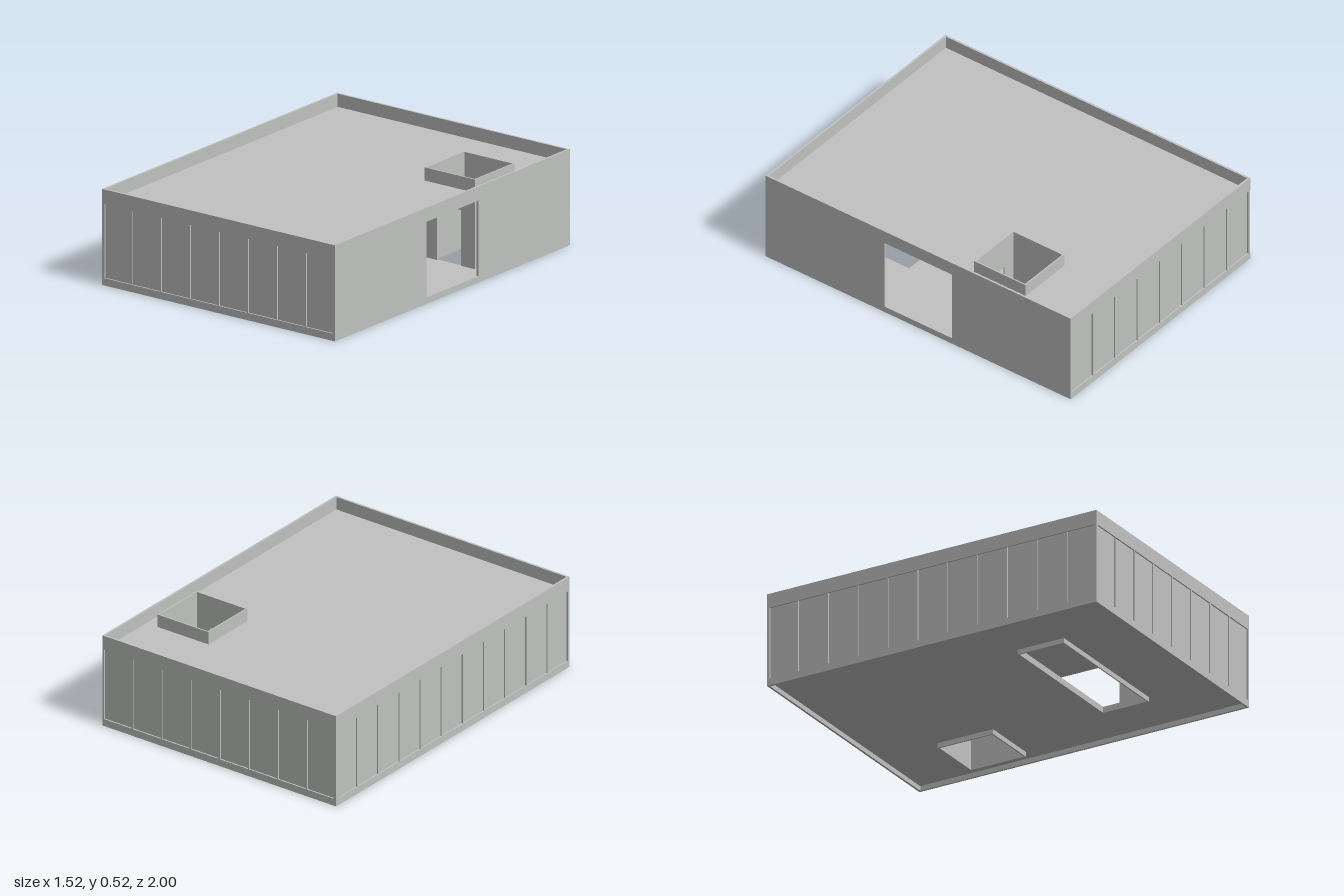
import * as THREE from 'three';

// Overall half width, half depth and height
const W = 0.762, D = 1, H = 0.525;
const FLOOR = 0.035, ROOF = 0.45; // top of floor slab, top of roof slab
const BASE = 0.04, HEAD = 0.445;  // bottom and top of the wall panels
const T = 0.012;                  // wall thickness

// Shaft and stair openings as [x0, x1, z0, z1]
const SHAFT = [0.355, 0.67, -0.63, -0.31];
const STAIR = [-0.41, 0.425, 0.32, 0.585];

const grey = new THREE.MeshStandardMaterial({ color: 0xc0c2c0 });
grey.name = 'concrete grey';

// Box given by its limits along each axis
function box(parent, name, x0, x1, y0, y1, z0, z1) {
  const mesh = new THREE.Mesh(new THREE.BoxGeometry(x1 - x0, y1 - y0, z1 - z0), grey);
  mesh.position.set((x0 + x1) / 2, (y0 + y1) / 2, (z0 + z1) / 2);
  mesh.name = name;
  parent.add(mesh);
}

function rectangle(target, x0, x1, y0, y1) {
  target.moveTo(x0, y0);
  target.lineTo(x1, y0);
  target.lineTo(x1, y1);
  target.lineTo(x0, y1);
  target.closePath();
  return target;
}

// Flat plate in the local xy plane with rectangular holes
function plate(parent, name, limits, holes, depth) {
  const shape = rectangle(new THREE.Shape(), ...limits);
  for (const h of holes) shape.holes.push(rectangle(new THREE.Path(), ...h));
  const geometry = new THREE.ExtrudeGeometry(shape, { depth, bevelEnabled: false });
  const mesh = new THREE.Mesh(geometry, grey);
  mesh.name = name;
  parent.add(mesh);
  return mesh;
}

// Horizontal slab whose top is at the given height
function slab(parent, name, top, thickness, holes) {
  const flip = holes.map(([x0, x1, z0, z1]) => [x0, x1, -z1, -z0]);
  const e = T / 2;
  const mesh = plate(parent, name, [-W + e, W - e, -D + e, D - e], flip, thickness);
  mesh.rotation.x = -Math.PI / 2;
  mesh.position.y = top - thickness;
}

// Thin upright rim around a rectangular opening
function rim(parent, name, [x0, x1, z0, z1], y0, y1) {
  const t = 0.008;
  box(parent, name, x0 - t, x0, y0, y1, z0 - t, z1 + t);
  box(parent, name, x1, x1 + t, y0, y1, z0 - t, z1 + t);
  box(parent, name, x0, x1, y0, y1, z0 - t, z0);
  box(parent, name, x0, x1, y0, y1, z1, z1 + t);
}

// Panelled wall facing local +z: base band, parapet, recessed panels, mullions
function panelWall(name, half, count) {
  const wall = new THREE.Group();
  wall.name = name;
  box(wall, 'baseBand', -half, half, 0, BASE, -T, 0);
  box(wall, 'parapet', -half, half, HEAD, H, -T, 0);
  box(wall, 'panels', -half + 0.006, half - 0.006, BASE, HEAD, -T, -0.008);
  for (let i = 0; i <= count; i++) {
    const x = -half + 0.004 + (2 * half - 0.008) * i / count;
    box(wall, 'mullion', x - 0.004, x + 0.004, BASE, HEAD, -T - 0.004, -0.001);
  }
  return wall;
}

export function createModel() {
  const model = new THREE.Group();
  model.name = 'building';

  // Panelled walls on three sides
  const front = panelWall('frontWall', W, 8);
  front.position.z = D;
  const back = panelWall('backWall', W, 8);
  back.rotation.y = Math.PI;
  back.position.z = -D;
  const left = panelWall('sideWall', D, 11);
  left.rotation.y = -Math.PI / 2;
  left.position.x = -W;
  model.add(front, back, left);

  // Plain wall with the wide doorway
  const doorWall = plate(model, 'doorWall', [-D, D, 0, H], [[-0.222, 0.222, 0.035, ROOF]], T);
  doorWall.rotation.y = Math.PI / 2;
  doorWall.position.x = W - T;

  // Floor and roof
  slab(model, 'floor', FLOOR, 0.008, [SHAFT, STAIR]);
  slab(model, 'roof', ROOF + 0.003, 0.008, [SHAFT]);

  // Rims below the floor openings and above the roof opening
  rim(model, 'shaftFloorRim', SHAFT, 0, 0.03);
  rim(model, 'stairFloorRim', STAIR, 0, 0.03);
  rim(model, 'roofCurb', SHAFT, ROOF, H);

  // Lift shaft between floor and roof, with its door opening towards the front
  const [x0, x1, z0, z1] = SHAFT, t = 0.008;
  const shaft = new THREE.Group();
  shaft.name = 'liftShaft';
  box(shaft, 'shaftSide', x0 - t, x0, FLOOR, ROOF, z0 - t, z1 + t);
  box(shaft, 'shaftSide', x1, x1 + t, FLOOR, ROOF, z0 - t, z1 + t);
  box(shaft, 'shaftBack', x0, x1, FLOOR, ROOF, z0 - t, z0);
  box(shaft, 'shaftJamb', x0, 0.43, FLOOR, ROOF, z1, z1 + t);
  box(shaft, 'shaftJamb', 0.585, x1, FLOOR, ROOF, z1, z1 + t);
  box(shaft, 'shaftHeader', 0.43, 0.585, 0.34, ROOF, z1, z1 + t);
  model.add(shaft);

  return model;
}
